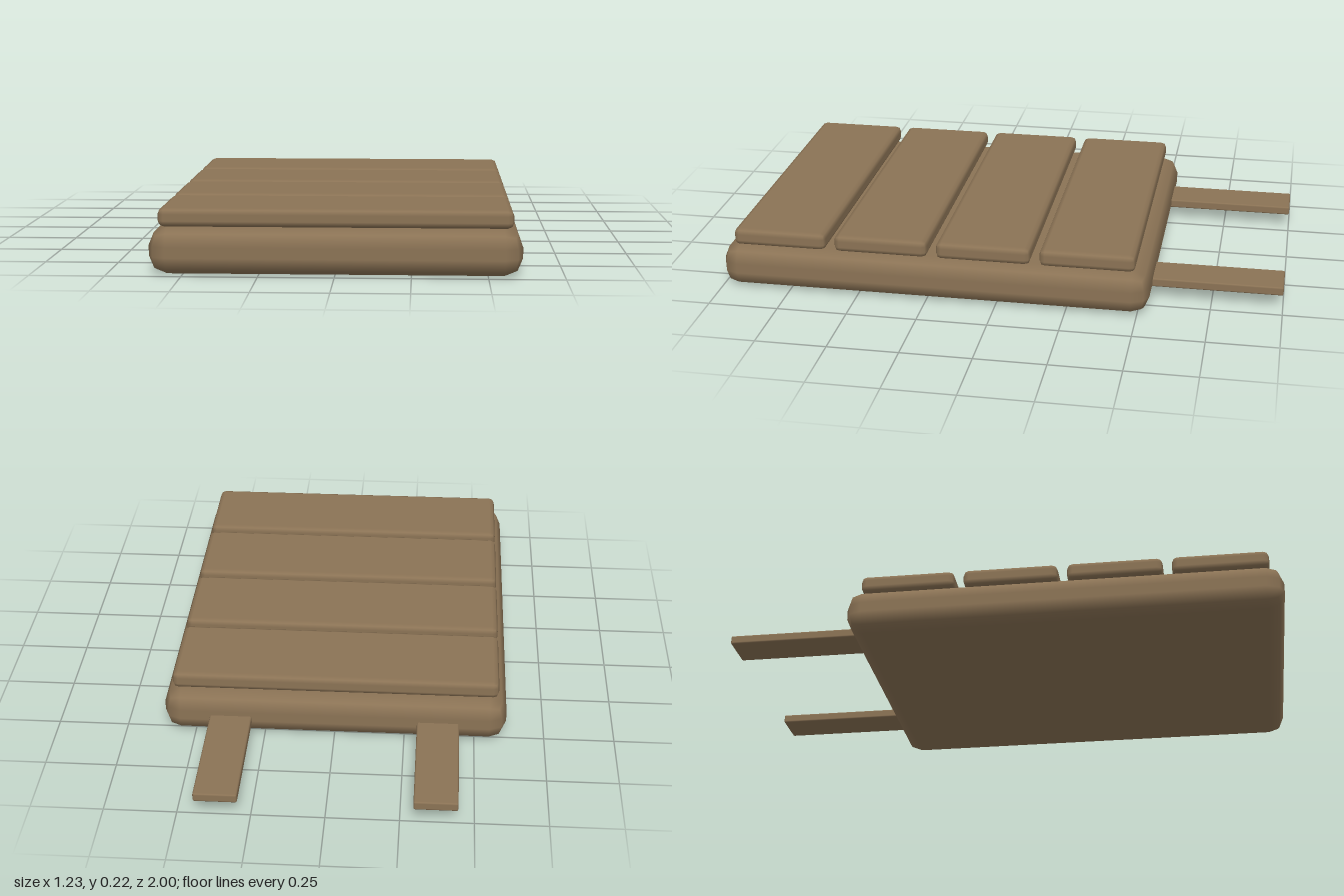
import * as THREE from 'three';
import { RoundedBoxGeometry } from 'three/addons/geometries/RoundedBoxGeometry.js';

export function createModel() {
  const model = new THREE.Group();
  model.name = 'paddedPanel';
  const brown = new THREE.MeshStandardMaterial({ color: 0x8b7355 });
  brown.name = 'brown cloth';

  // Rounded block centred on (x, z), spanning y0 to y1
  const block = (name, x, y0, y1, z, w, d, radius, segments) => {
    const geometry = new RoundedBoxGeometry(w, y1 - y0, d, segments, radius);
    const mesh = new THREE.Mesh(geometry, brown);
    mesh.name = name;
    mesh.position.set(x, (y0 + y1) / 2, z);
    model.add(mesh);
  };

  // Thick cushion base
  block('base', 0, 0, 0.155, 0.23, 1.226, 1.54, 0.06, 1);

  // Four quilted pads across the top
  for (let i = 0; i < 4; i++) {
    block(`pad${i + 1}`, 0, 0.155, 0.217, 0.786 - i * 0.369, 1.166, 0.337, 0.02, 1);
  }

  // Two flat straps at the back
  for (const [name, side] of [['leftStrap', 1], ['rightStrap', -1]]) {
    block(name, side * 0.37, 0.047, 0.079, -0.75, 0.15, 0.5, 0.006, 1);
  }

  return model;
}
